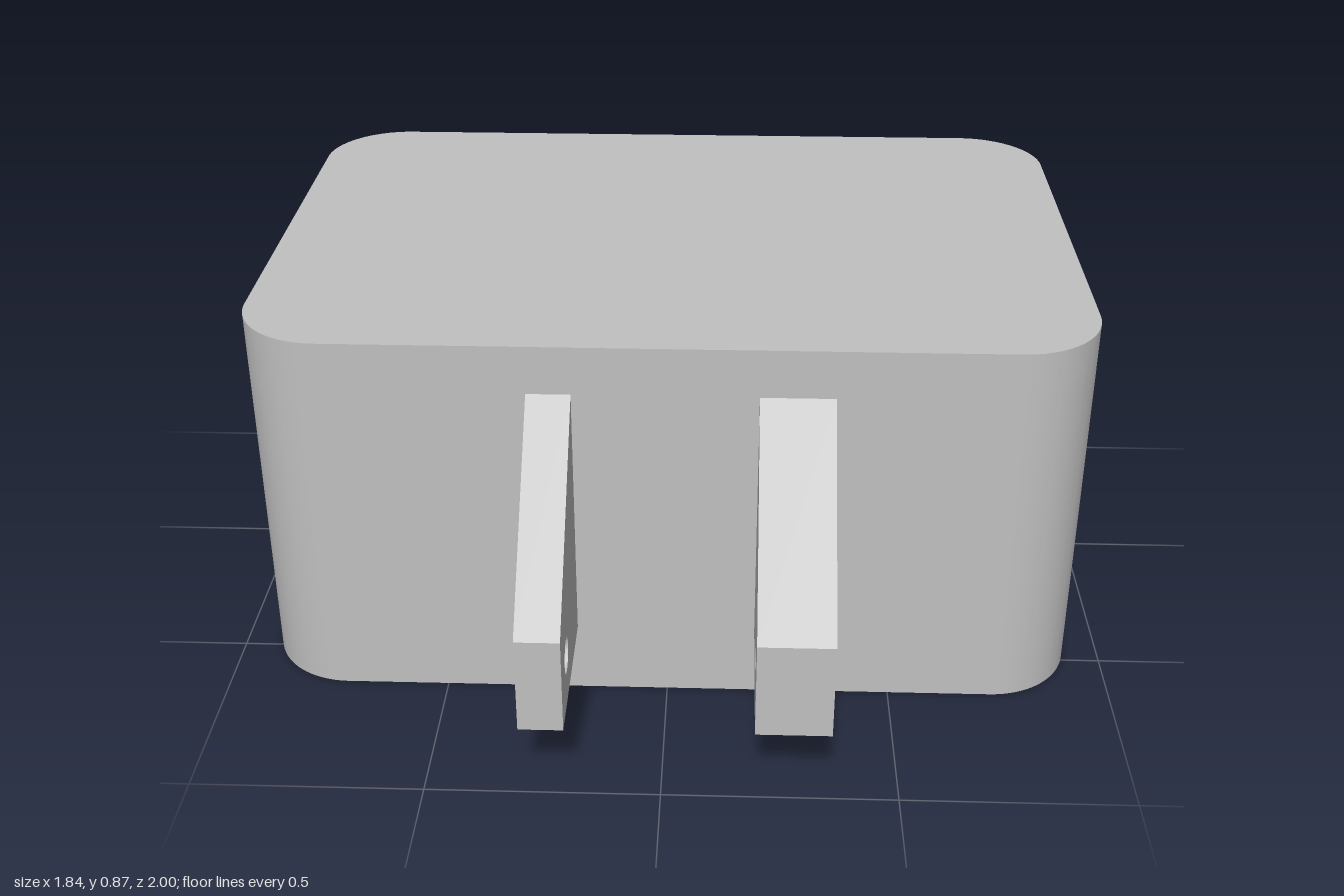
import * as THREE from 'three';
import { toCreasedNormals } from 'three/addons/utils/BufferGeometryUtils.js';

const HALF_X = 0.92, HALF_Z = 0.635, HEIGHT = 0.865;
const RADIUS = 0.19, WALL = 0.035, CEILING = 0.785;

// Rounded rectangle centred on the origin
function roundedRect(Target, hx, hy, r) {
  const p = new Target();
  p.moveTo(hx, hy - r);
  p.absarc(hx - r, hy - r, r, 0, Math.PI / 2);
  p.absarc(r - hx, hy - r, r, Math.PI / 2, Math.PI);
  p.absarc(r - hx, r - hy, r, Math.PI, Math.PI * 1.5);
  p.absarc(hx - r, r - hy, r, Math.PI * 1.5, Math.PI * 2);
  p.closePath();
  return p;
}

function extrude(shape, depth) {
  const geometry = new THREE.ExtrudeGeometry(shape, { depth, bevelEnabled: false, curveSegments: 16 });
  return toCreasedNormals(geometry, 0.5);
}

// Side profile of a bracket: outward distance against height, with a pin hole
function bracketGeometry(width, holeRadius) {
  const shape = new THREE.Shape([
    [HALF_Z, 0.165], [1, 0.165], [1, 0.385], [HALF_Z, 0.755],
  ].map(([d, y]) => new THREE.Vector2(d, y)));
  const hole = new THREE.Path();
  hole.absarc(0.89, 0.275, holeRadius, 0, Math.PI * 2, true);
  shape.holes.push(hole);
  return extrude(shape, width);
}

export function createModel() {
  const model = new THREE.Group();
  model.name = 'bracketedCover';
  const grey = new THREE.MeshStandardMaterial({ color: 0xc0c0c0 });
  grey.name = 'plainGrey';

  const add = (name, geometry) => {
    const mesh = new THREE.Mesh(geometry, grey);
    mesh.name = name;
    model.add(mesh);
  };

  // Hollow side wall, open at the bottom
  const ring = roundedRect(THREE.Shape, HALF_X, HALF_Z, RADIUS);
  ring.holes.push(roundedRect(THREE.Path, HALF_X - WALL, HALF_Z - WALL, RADIUS - WALL));
  add('sideWall', extrude(ring, CEILING).rotateX(-Math.PI / 2));

  // Solid roof closing the top
  const roof = roundedRect(THREE.Shape, HALF_X, HALF_Z, RADIUS);
  add('roof', extrude(roof, HEIGHT - CEILING).rotateX(-Math.PI / 2).translate(0, CEILING, 0));

  // A narrow and a wide bracket on both the front and the back
  const brackets = [
    { name: 'narrowBracket', x0: -0.295, x1: -0.2, hole: 0.04 },
    { name: 'wideBracket', x0: 0.195, x1: 0.355, hole: 0.03 },
  ];
  for (const { name, x0, x1, hole } of brackets) {
    add(name + 'Front', bracketGeometry(x1 - x0, hole).rotateY(-Math.PI / 2).translate(x1, 0, 0));
    add(name + 'Back', bracketGeometry(x1 - x0, hole).rotateY(Math.PI / 2).translate(x0, 0, 0));
  }
  return model;
}
